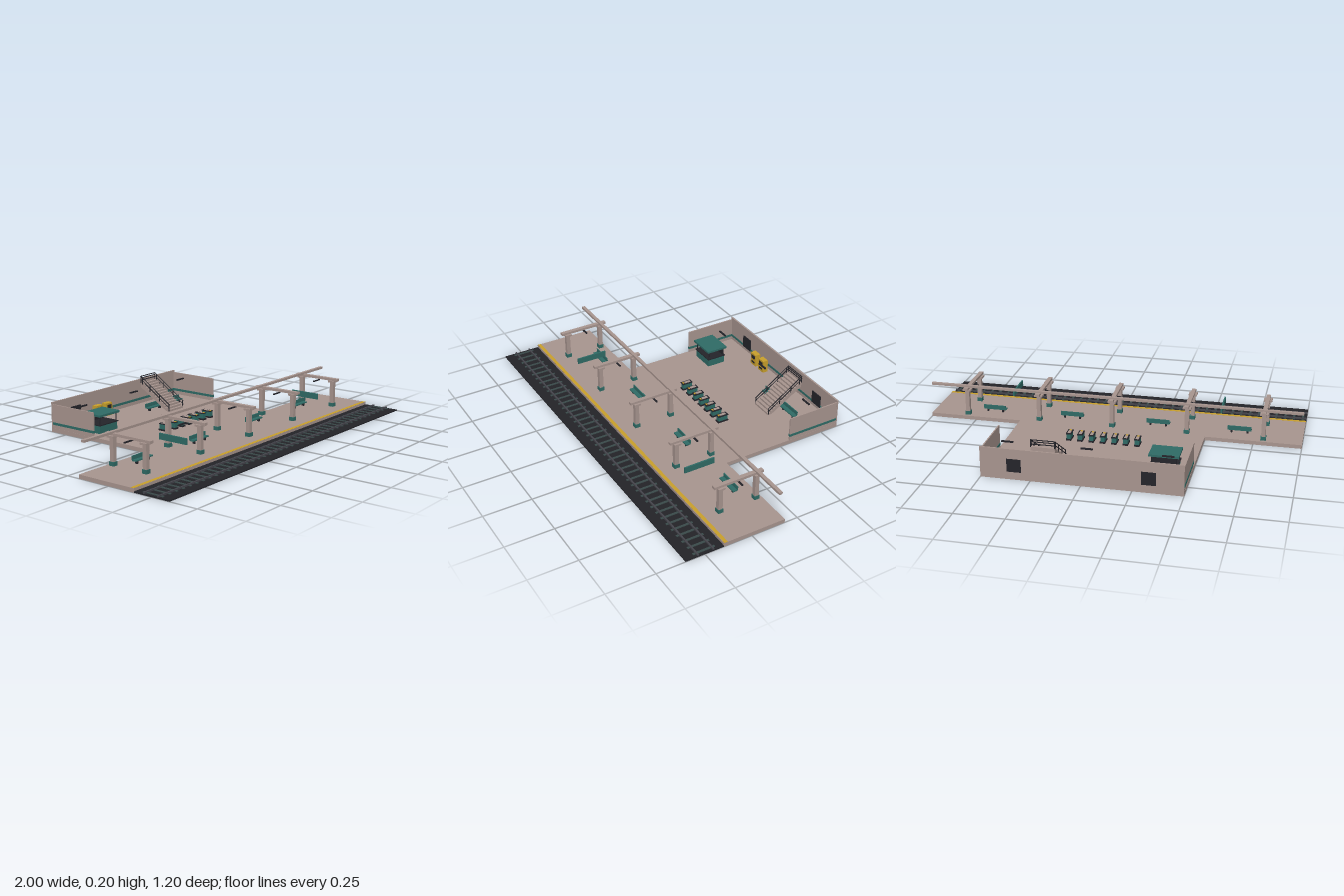
import * as THREE from 'three';

const mat = (color) => new THREE.MeshStandardMaterial({ color });
const STONE = mat(0xa8958f), TEAL = mat(0x2f6b66), DARK = mat(0x24242a);
const YELLOW = mat(0xc9a02c), BED = mat(0x232328), TIE = mat(0x3a4a4a), STEEL = mat(0x45454c);

function createGroup(parent, name, x = 0, y = 0, z = 0) {
  const g = new THREE.Group();
  g.name = name;
  g.position.set(x, y, z);
  parent.add(g);
  return g;
}

// box given by its min / max extents on each axis
function box(parent, name, m, [x0, x1], [y0, y1], [z0, z1]) {
  const mesh = new THREE.Mesh(new THREE.BoxGeometry(x1 - x0, y1 - y0, z1 - z0), m);
  mesh.position.set((x0 + x1) / 2, (y0 + y1) / 2, (z0 + z1) / 2);
  mesh.name = name;
  parent.add(mesh);
  return mesh;
}

// thin bar between two points
function bar(parent, name, m, a, b, r) {
  const p = new THREE.Vector3(...a), q = new THREE.Vector3(...b);
  const mesh = new THREE.Mesh(new THREE.CylinderGeometry(r, r, p.distanceTo(q), 6), m);
  mesh.position.copy(p).lerp(q, 0.5);
  mesh.quaternion.setFromUnitVectors(new THREE.Vector3(0, 1, 0), q.sub(p).normalize());
  mesh.name = name;
  parent.add(mesh);
}

const FLOOR = 0.02;

function addBench(parent, x, z) {
  const g = createGroup(parent, 'bench', x, FLOOR, z);
  box(g, 'benchSeat', TEAL, [-0.062, 0.062], [0.015, 0.021], [-0.01, 0.015]);
  box(g, 'benchBack', TEAL, [-0.062, 0.062], [0.021, 0.04], [-0.013, -0.008]);
  for (const s of [-1, 1]) {
    box(g, 'benchLeg', DARK, [s * 0.042 - 0.004, s * 0.042 + 0.004], [0, 0.015], [-0.006, 0.009]);
  }
}

function addCanopyFrame(parent, x) {
  const g = createGroup(parent, 'canopyFrame', x);
  for (const z of [0.1, 0.3]) {
    box(g, 'column', STONE, [-0.011, 0.011], [FLOOR, 0.166], [z - 0.011, z + 0.011]);
    box(g, 'columnBase', TEAL, [-0.014, 0.014], [FLOOR, 0.04], [z - 0.014, z + 0.014]);
    box(g, 'columnCap', STONE, [-0.022, 0.022], [0.157, 0.167], [z - 0.018, z + 0.018]);
  }
  box(g, 'crossBeam', STONE, [-0.011, 0.011], [0.166, 0.179], [0.065, 0.335]);
  box(g, 'lamp', DARK, [-0.03, 0.03], [0.149, 0.155], [0.191, 0.199]);
}

function addTicketGate(parent, x) {
  const g = createGroup(parent, 'ticketGate', x, FLOOR, -0.104);
  box(g, 'gateFoot', DARK, [-0.014, 0.014], [0, 0.008], [-0.03, 0.03]);
  box(g, 'gateBody', TEAL, [-0.011, 0.011], [0.008, 0.034], [-0.026, 0.026]);
  box(g, 'gateTop', DARK, [-0.014, 0.014], [0.034, 0.038], [-0.029, 0.029]);
  box(g, 'gatePlate', STONE, [-0.008, 0.008], [0.038, 0.0395], [-0.02, 0.014]);
  box(g, 'gateReader', YELLOW, [-0.006, 0.006], [0.038, 0.0405], [0.017, 0.025]);
}

function addTicketMachine(parent, x) {
  const g = createGroup(parent, 'ticketMachine', x, FLOOR, -0.557);
  box(g, 'machineBody', YELLOW, [-0.024, 0.024], [0, 0.07], [-0.016, 0.014]);
  box(g, 'machineScreen', DARK, [-0.015, 0.015], [0.04, 0.06], [0.014, 0.016]);
  box(g, 'machineTray', DARK, [-0.012, 0.012], [0.014, 0.024], [0.014, 0.016]);
}

function addKiosk(parent) {
  const g = createGroup(parent, 'kiosk', -0.37, FLOOR, -0.37);
  box(g, 'kioskCounter', TEAL, [-0.065, 0.065], [0, 0.042], [-0.05, 0.05]);
  box(g, 'kioskCounterTop', DARK, [-0.07, 0.07], [0.042, 0.047], [-0.054, 0.054]);
  box(g, 'kioskBackPanel', DARK, [-0.06, 0.06], [0.047, 0.09], [-0.048, -0.042]);
  for (const sx of [-1, 1]) for (const sz of [-1, 1]) {
    bar(g, 'kioskPost', DARK, [sx * 0.06, 0.045, sz * 0.046], [sx * 0.06, 0.092, sz * 0.046], 0.003);
  }
  box(g, 'kioskRoof', TEAL, [-0.075, 0.075], [0.09, 0.101], [-0.06, 0.06]);
}

function addStairs(parent) {
  const g = createGroup(parent, 'stairs', 0.2, FLOOR, -0.335);
  const n = 13, run = 0.205 / n, rise = 0.135 / n;
  // stepped side profile with a sloping underside
  const s = new THREE.Shape();
  s.moveTo(0, 0);
  for (let i = 0; i < n; i++) {
    s.lineTo(i * run, (i + 1) * rise);
    s.lineTo((i + 1) * run, (i + 1) * rise);
  }
  s.lineTo(n * run, n * rise - 0.025);
  s.lineTo(0.023, 0);
  const geo = new THREE.ExtrudeGeometry(s, { depth: 0.12, bevelEnabled: false });
  geo.rotateY(Math.PI / 2);
  const steps = new THREE.Mesh(geo, STONE);
  steps.position.x = -0.06;
  steps.name = 'steps';
  g.add(steps);
  // sloping handrails with posts
  const at = (t, h) => [-0.205 * t, 0.135 * t + h];
  for (const x of [-0.06, 0.06]) {
    for (const h of [0.02, 0.038]) {
      const [z0, y0] = at(0, h), [z1, y1] = at(1, h);
      bar(g, 'handrail', DARK, [x, y0, z0], [x, y1, z1], 0.0025);
    }
    for (const t of [0.02, 0.35, 0.68, 0.94, 1]) {
      const [z, y] = at(t, 0);
      bar(g, 'railPost', DARK, [x, y, z], [x, y + 0.038, z], 0.0025);
    }
  }
  // barrier across the top
  for (const y of [0.15, 0.162, 0.172]) bar(g, 'topRail', DARK, [-0.062, y, -0.205], [0.062, y, -0.205], 0.0025);
}

export function createModel() {
  const root = new THREE.Group();
  root.name = 'railwayStation';

  // T-shaped floor
  box(root, 'platform', STONE, [-1, 1], [0, FLOOR], [0.07, 0.4]);
  box(root, 'concourse', STONE, [-0.5, 0.5], [0, FLOOR], [-0.6, 0.07]);
  box(root, 'safetyLine', YELLOW, [-1, 1], [FLOOR, FLOOR + 0.001], [0.38, 0.398]);

  // track
  const track = createGroup(root, 'track');
  box(track, 'trackBed', BED, [-1, 1], [0, 0.006], [0.4, 0.6]);
  for (let i = 0; i < 42; i++) {
    const x = -0.98 + i * 1.96 / 41;
    box(track, 'sleeper', TIE, [x - 0.006, x + 0.006], [0.005, 0.009], [0.438, 0.552]);
  }
  for (const z of [0.455, 0.535]) box(track, 'rail', STEEL, [-1, 1], [0.006, 0.014], [z - 0.004, z + 0.004]);

  // walls with colour band and windows
  const walls = createGroup(root, 'walls');
  box(walls, 'backWall', STONE, [-0.5, 0.5], [FLOOR, 0.159], [-0.6, -0.592]);
  box(walls, 'backBand', TEAL, [-0.492, 0.492], [0.04, 0.053], [-0.592, -0.59]);
  for (const s of [-1, 1]) {
    const wall = box(walls, 'sideWall', STONE, [0.492, 0.499], [FLOOR, 0.148], [-0.592, -0.305]);
    const band = box(walls, 'sideBand', TEAL, [0.49, 0.501], [0.04, 0.053], [-0.592, -0.304]);
    wall.position.x *= s;
    band.position.x *= s;
    const x = s * 0.33;
    box(walls, 'window', DARK, [x - 0.036, x + 0.036], [0.04, 0.108], [-0.601, -0.587]);
  }

  // canopy
  for (let i = -2; i <= 2; i++) addCanopyFrame(root, i * 0.4);
  box(root, 'longBeam', STONE, [-1, 1], [0.175, 0.187], [0.091, 0.109]);

  // platform furniture
  for (const x of [-0.67, -0.237, 0.233, 0.667]) addBench(root, x, 0.164);
  for (const x of [-0.567, 0.567]) box(root, 'hangingSign', TEAL, [x - 0.004, x + 0.004], [0.11, 0.141], [0.185, 0.35]);

  // concourse furniture
  for (let i = -3; i <= 3; i++) addTicketGate(root, i * 0.0597);
  for (const x of [-0.195, -0.12]) addTicketMachine(root, x);
  for (const x of [0.133, 0.3]) addBench(root, x, -0.438);
  for (const x of [-0.4, 0, 0.4]) box(root, 'hallLamp', DARK, [x - 0.03, x + 0.03], [0.135, 0.142], [-0.474, -0.466]);
  addKiosk(root);
  addStairs(root);

  return root;
}
